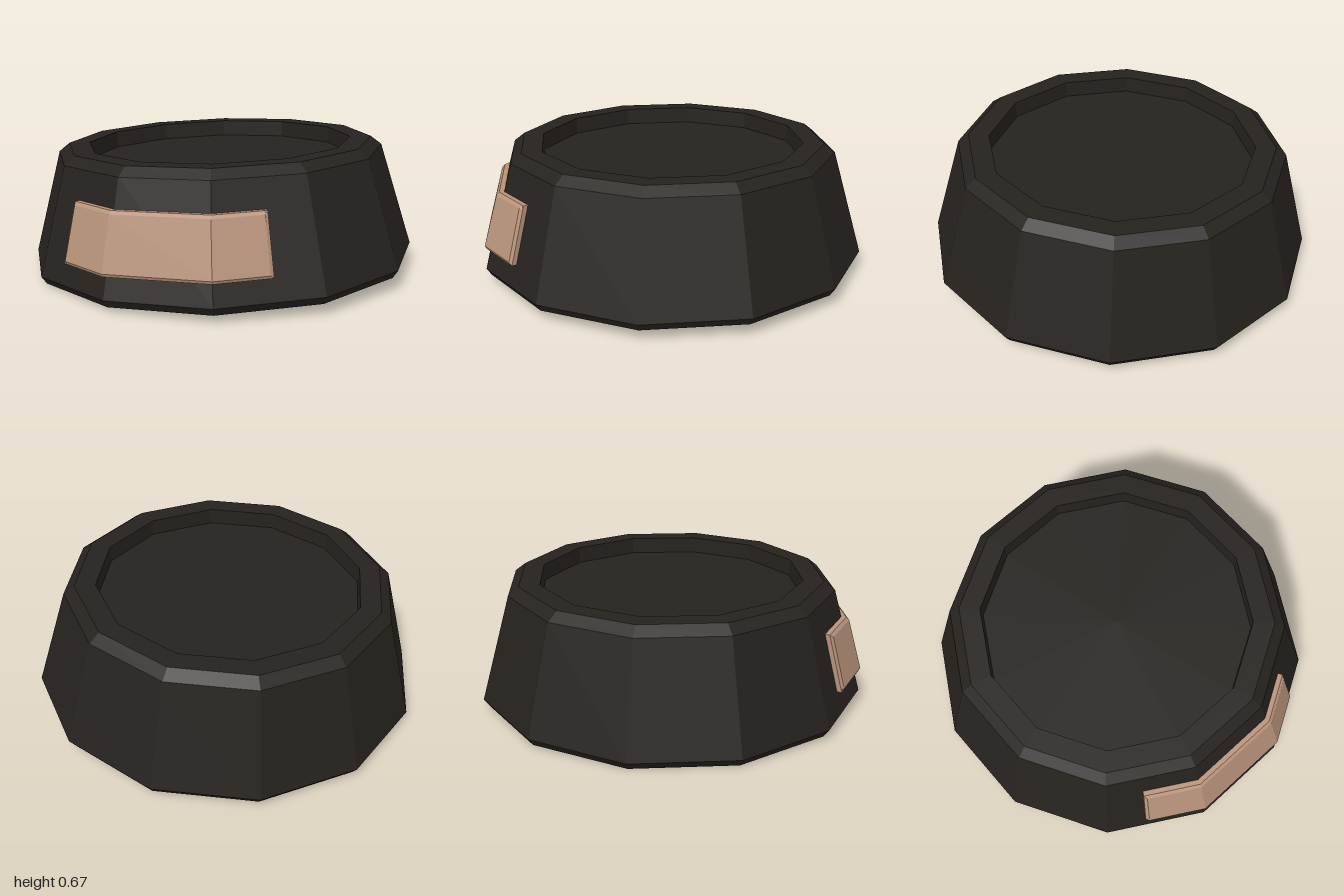
import * as THREE from 'three';

const SIDES = 12;
const SPIN = 0.07; // turn of the ring so that corners sit slightly off the axes
const STEP = (Math.PI * 2) / SIDES;

// Radius of the sloping outer wall at height h
const wallRadius = (h) => THREE.MathUtils.mapLinear(h, 0.075, 0.612, 1.002, 0.847);

// Point on the faceted wall: u counts facets from the front corner towards the right side
function wallPoint(u, h, offset) {
  const r = wallRadius(h) + offset;
  const corner = (k) => {
    const a = SPIN - k * STEP;
    return new THREE.Vector3(Math.sin(a) * r, h, Math.cos(a) * r);
  };
  const k = Math.floor(u);
  return corner(k).lerp(corner(k + 1), u - k);
}

// Plate with chamfered edges, wrapped around the wall facets
function plateGeometry() {
  const h0 = 0.185, h1 = 0.473, bevel = 0.015, low = 0.025, high = 0.036;
  const columns = [0.46, 0.495, 1, 2, 2.565, 2.6];
  const section = [
    [h0, -0.01], [h0, low], [h0 + bevel, high],
    [h1 - bevel, high], [h1, low], [h1, -0.01],
  ];
  const n = section.length, last = columns.length - 1;
  const positions = [], index = [];
  columns.forEach((u, i) => {
    const limit = i === 0 || i === last ? low : high;
    for (const [h, off] of section) positions.push(...wallPoint(u, h, Math.min(off, limit)).toArray());
  });
  for (let i = 0; i < last; i++) {
    for (let j = 0; j < n; j++) {
      const a = i * n + j, d = i * n + ((j + 1) % n);
      const b = a + n, c = d + n;
      index.push(a, d, c, a, c, b);
    }
  }
  // End caps
  for (let k = 1; k < n - 1; k++) {
    index.push(0, k + 1, k);
    index.push(last * n, last * n + k, last * n + k + 1);
  }
  const geometry = new THREE.BufferGeometry();
  geometry.setAttribute('position', new THREE.Float32BufferAttribute(positions, 3));
  geometry.setIndex(index);
  const flat = geometry.toNonIndexed();
  flat.computeVertexNormals();
  return flat;
}

export function createModel() {
  const model = new THREE.Group();
  model.name = 'bowl';

  // Body: closed base, sloping wall, chamfered rim and shallow sunken floor
  const profile = [
    [0, 0.036], [0.975, 0.036], [1.002, 0.075], [0.847, 0.612],
    [0.792, 0.655], [0.685, 0.655], [0.682, 0.57], [0, 0.57],
  ].map(([x, y]) => new THREE.Vector2(x, y));
  const body = new THREE.Mesh(
    new THREE.LatheGeometry(profile, SIDES, SPIN),
    new THREE.MeshStandardMaterial({ color: 0x26221e, flatShading: true })
  );
  body.name = 'bowlBody';

  // Name plate on the front right of the wall
  const plate = new THREE.Mesh(
    plateGeometry(),
    new THREE.MeshStandardMaterial({ color: 0xb8937b, flatShading: true })
  );
  plate.name = 'namePlate';

  // The whole bowl leans slightly
  const tilt = new THREE.Group();
  tilt.name = 'leaningBowl';
  tilt.rotation.set(-0.021, 0, 0.024);
  tilt.add(body, plate);
  model.add(tilt);
  return model;
}
